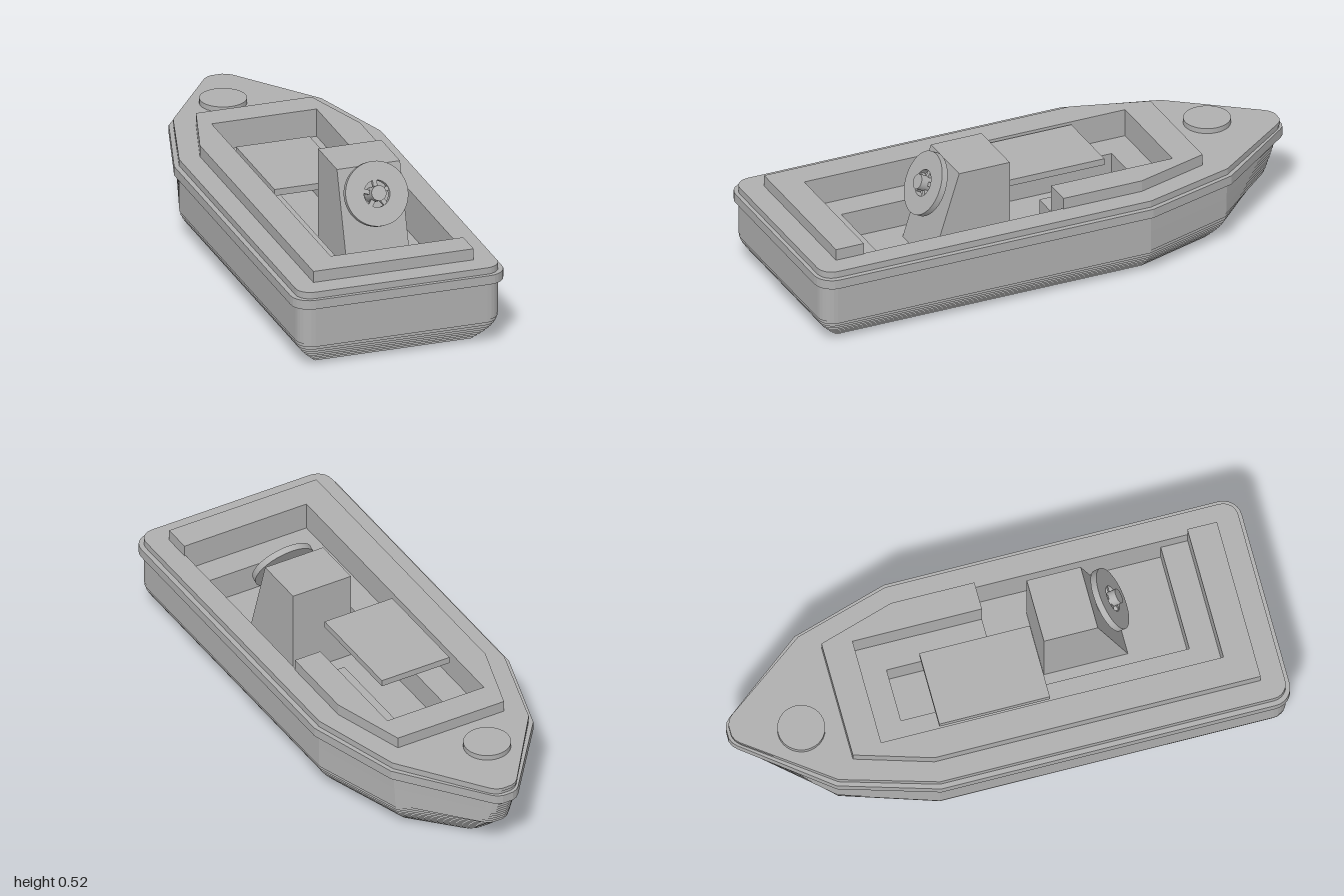
import * as THREE from 'three';

const grey = new THREE.MeshStandardMaterial({ color: 0xb0b0b0 });
grey.name = 'plain grey';

function mesh(name, geometry, parent) {
  const m = new THREE.Mesh(geometry, grey);
  m.name = name;
  parent.add(m);
  return m;
}

// Plan points are [x, z]; shapes are drawn with y = -z and extruded upwards.
const points = (plan) => plan.map(([x, z]) => new THREE.Vector2(x, -z));

function slab(name, plan, y0, y1, holes, parent) {
  const shape = new THREE.Shape(points(plan));
  for (const hole of holes) shape.holes.push(new THREE.Path(points(hole)));
  const g = new THREE.ExtrudeGeometry(shape, { depth: y1 - y0, bevelEnabled: false });
  g.rotateX(-Math.PI / 2).translate(0, y0, 0);
  return mesh(name, g, parent);
}

function circle(cx, cz, r, n = 32) {
  return Array.from({ length: n }, (_, i) => {
    const a = (i / n) * Math.PI * 2;
    return [cx + r * Math.cos(a), cz + r * Math.sin(a)];
  });
}

// Symmetric boat plan: rounded stern corners, two-step taper, rounded bow tip.
function boatPlan(w, stern, r, shoulderX, shoulderZ, tip) {
  const half = [];
  for (let i = 0; i <= 6; i++) {
    const a = (i / 6) * Math.PI / 2;
    half.push([w - r + r * Math.sin(a), stern - r + r * Math.cos(a)]);
  }
  half.push([w, -0.31], [shoulderX, shoulderZ]);
  half.push([0.055, tip + 0.024], [0.04, tip + 0.01], [0.02, tip + 0.002]);
  const other = half.map(([x, z]) => [-x, z]).reverse();
  return [...half, ...other];
}

// Hull plan at a given height
function hullPlan(y) {
  const t = Math.min(y / 0.115, 1);
  const k = Math.sin(t * Math.PI / 2);
  const up = Math.max(0, (y - 0.115) / 0.19);
  const tip = -0.79 - 0.13 * Math.pow(t, 0.85) - 0.07 * Math.pow(up, 0.8);
  return boatPlan(0.302 + 0.082 * k, 0.9 + 0.085 * k, 0.006 + 0.05 * k,
    0.205 + 0.065 * k + 0.012 * up, -0.61 - 0.05 * k, tip);
}

export function createModel() {
  const boat = new THREE.Group();
  boat.name = 'boat';

  // Cockpit openings: wide upper part, narrower foot well, blind holes below
  const cockpit = [[-0.2, 0.79], [0.3, 0.79], [0.3, 0], [0.2, 0], [0.2, -0.48], [-0.2, -0.48]];
  const well = [[-0.1, 0.69], [0.3, 0.69], [0.3, 0], [0.1, 0], [0.1, -0.38], [-0.1, -0.38]];
  const sockets = [circle(-0.06, 0.65, 0.094), circle(-0.06, -0.11, 0.094)];

  // Hull in thin stepped layers
  const hull = new THREE.Group();
  hull.name = 'hull';
  boat.add(hull);
  const layers = 24, h = 0.305 / layers;
  for (let i = 0; i < layers; i++) {
    const holes = i < 10 ? sockets : i < 11 ? [] : i < 19 ? [well] : [cockpit];
    slab('hullLayer', hullPlan(i < 9 ? i * h : (i + 1) * h), i * h, (i + 1) * h, holes, hull);
  }

  // Rubbing strake around the hull
  slab('rubbingStrake', boatPlan(0.403, 1, 0.07, 0.295, -0.67, -1), 0.245, 0.28, [cockpit], boat);

  // Raised coaming, open on one side
  slab('coaming', [[-0.305, 0.9], [0.305, 0.9], [0.305, 0.79], [-0.2, 0.79], [-0.2, -0.48],
    [0.2, -0.48], [0.2, 0], [0.305, 0], [0.305, -0.31], [0.22, -0.59], [-0.22, -0.59],
    [-0.305, -0.31]], 0.305, 0.348, [], boat);

  // Bow hatch
  slab('bowHatch', circle(-0.063, -0.74, 0.086, 40), 0.3, 0.325, [], boat);

  // Seat plate
  mesh('seat', new THREE.BoxGeometry(0.28, 0.025, 0.41), boat).position.set(-0.045, 0.333, -0.055);

  // Helm console with a sloped face
  const side = new THREE.Shape([[-0.17, 0.13], [-0.17, 0.49], [-0.37, 0.49], [-0.485, 0.13]]
    .map(([x, y]) => new THREE.Vector2(x, y)));
  const consoleGeo = new THREE.ExtrudeGeometry(side, { depth: 0.24, bevelEnabled: false });
  consoleGeo.rotateY(Math.PI / 2);
  mesh('console', consoleGeo, boat).position.x = -0.026;

  // Steering wheel: rim, spokes and hub on a tilted axis
  const wheel = new THREE.Group();
  wheel.name = 'steeringWheel';
  wheel.position.set(0.095, 0.409, 0.447);
  wheel.rotation.x = -0.46;
  boat.add(wheel);
  const rim = new THREE.Shape().absarc(0, 0, 0.118, 0, Math.PI * 2);
  rim.holes.push(new THREE.Path().absarc(0, 0, 0.049, 0, Math.PI * 2, true));
  const rimGeo = new THREE.ExtrudeGeometry(rim, { depth: 0.024, bevelEnabled: false, curveSegments: 40 });
  mesh('wheelRim', rimGeo.translate(0, 0, -0.012), wheel);
  const hubGeo = new THREE.CylinderGeometry(0.028, 0.028, 0.09, 24);
  mesh('wheelHub', hubGeo.rotateX(Math.PI / 2).translate(0, 0, -0.008), wheel);
  for (let i = 0; i < 5; i++) {
    const spoke = new THREE.BoxGeometry(0.016, 0.03, 0.016);
    spoke.translate(0, 0.038, 0).rotateZ((i / 5) * Math.PI * 2);
    mesh('wheelSpoke', spoke, wheel);
  }

  return boat;
}
